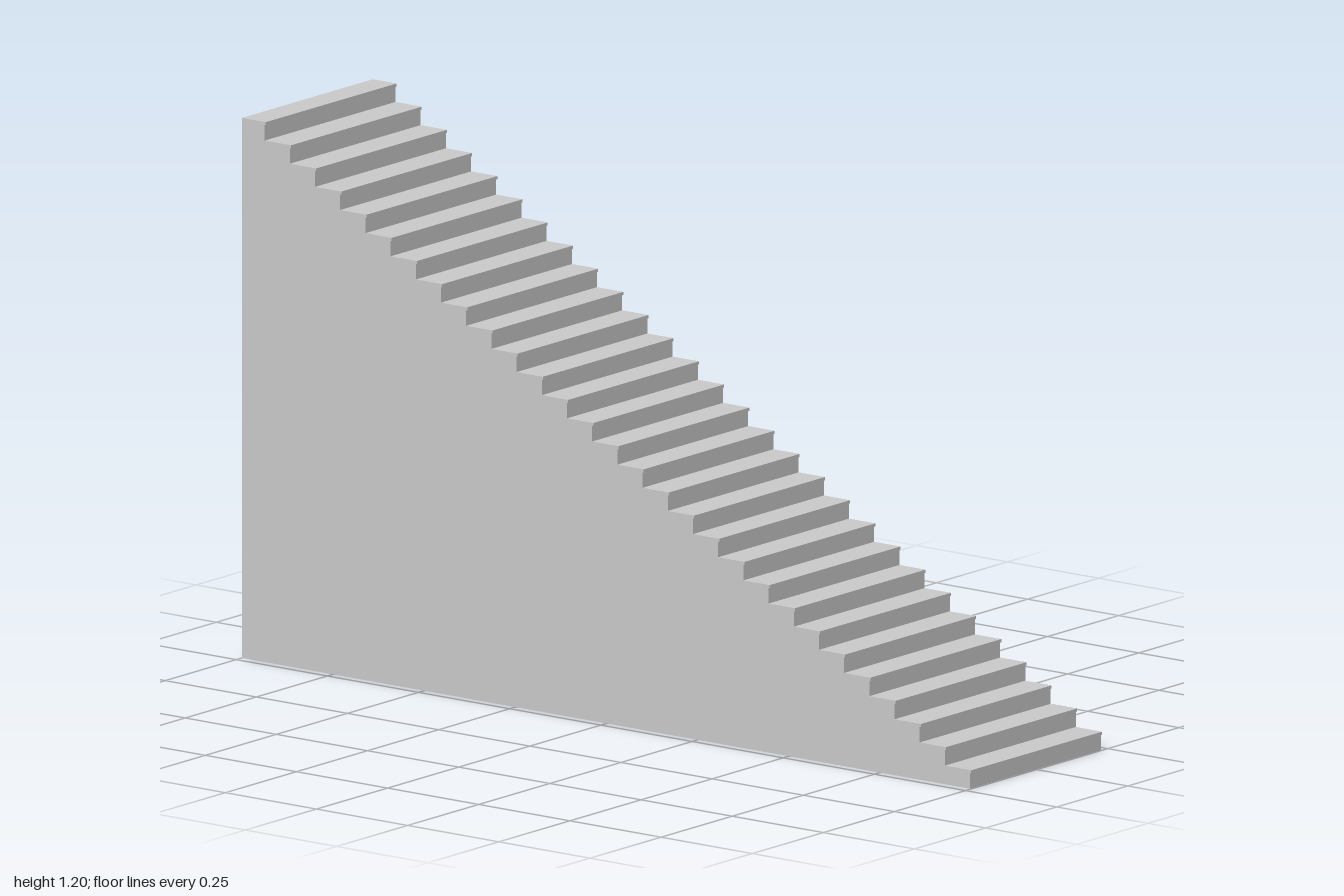
import * as THREE from 'three';

export function createModel() {
  const group = new THREE.Group();
  const steps = 29, width = 0.46, height = 1.2, length = 2;
  const rise = height / steps, going = 0.0691;
  const lip = 0.007, overhang = 0.003; // slight nosing on each tread

  // Side profile: horizontal axis is z, the stairs climb towards the back
  const profile = new THREE.Shape();
  profile.moveTo(-length / 2, 0);
  for (let i = 0; i < steps; i++) {
    const front = length / 2 - i * going;
    const top = (i + 1) * rise;
    profile.lineTo(front - overhang, i * rise);
    profile.lineTo(front - overhang, top - lip);
    profile.lineTo(front, top - lip);
    profile.lineTo(front, top);
  }
  profile.lineTo(-length / 2, height);
  profile.closePath();

  // Extrude across the width and turn the profile to face +z
  const geometry = new THREE.ExtrudeGeometry(profile, { depth: width, bevelEnabled: false });
  geometry.translate(0, 0, -width / 2);
  geometry.rotateY(-Math.PI / 2);

  const staircase = new THREE.Mesh(
    geometry,
    new THREE.MeshStandardMaterial({ color: 0xcccccc, flatShading: true })
  );
  staircase.name = 'staircase';
  group.add(staircase);
  return group;
}
